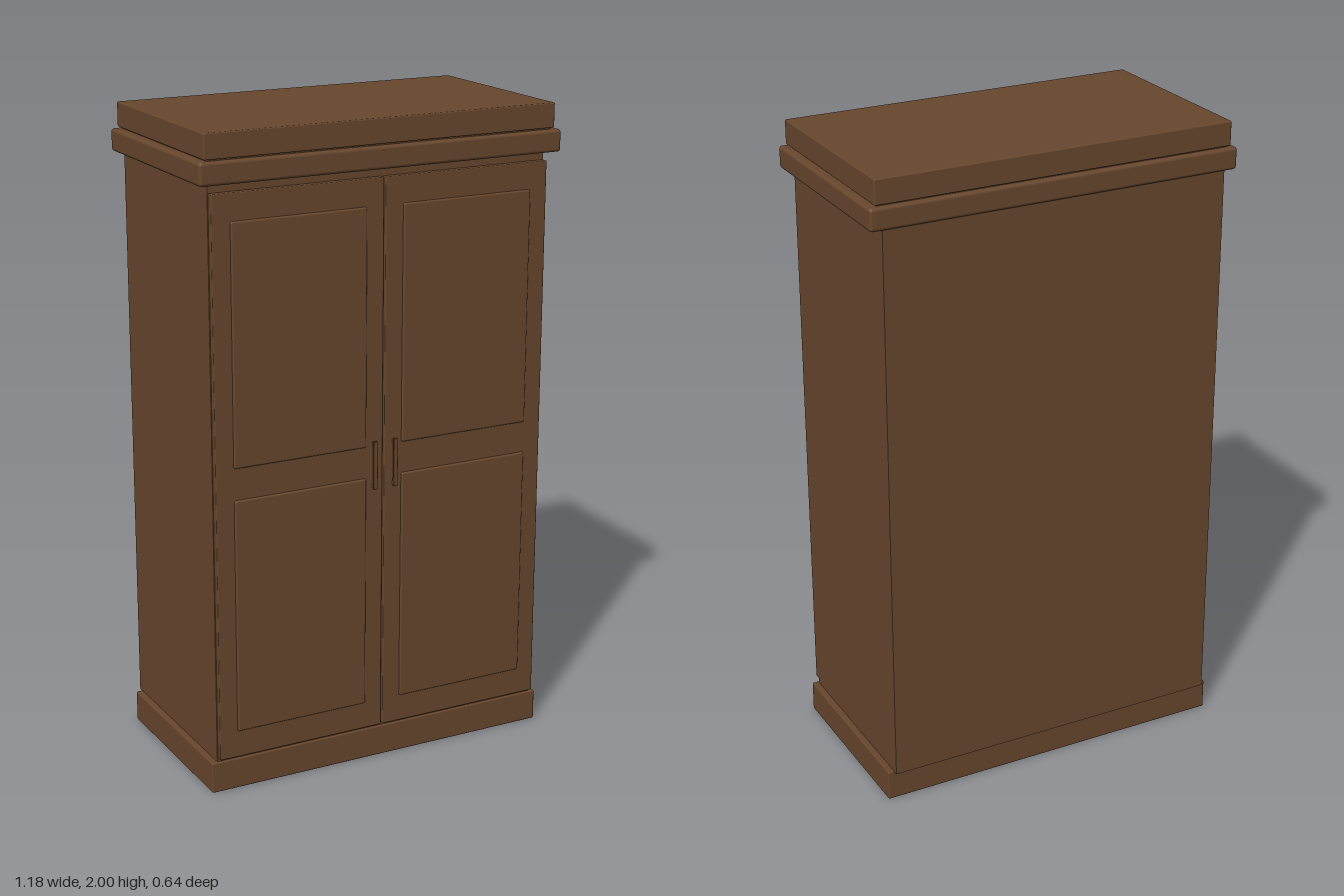
import * as THREE from 'three';
import { RoundedBoxGeometry } from 'three/addons/geometries/RoundedBoxGeometry.js';

export function createModel() {
  const wood = new THREE.MeshStandardMaterial({ color: 0x68472d });
  wood.name = 'brown wood';

  // Box given by its extents along each axis, with an optional edge radius
  function block(parent, name, [x0, x1], [y0, y1], [z0, z1], radius = 0) {
    const size = [x1 - x0, y1 - y0, z1 - z0];
    const geometry = radius
      ? new RoundedBoxGeometry(...size, 2, radius)
      : new THREE.BoxGeometry(...size);
    const mesh = new THREE.Mesh(geometry, wood);
    mesh.name = name;
    mesh.position.set((x0 + x1) / 2, (y0 + y1) / 2, (z0 + z1) / 2);
    parent.add(mesh);
  }

  const wardrobe = new THREE.Group();
  wardrobe.name = 'wardrobe';

  // Plinth, carcass and stepped crown
  block(wardrobe, 'plinth', [-0.57, 0.57], [0, 0.097], [-0.297, 0.291], 0.004);
  block(wardrobe, 'carcass', [-0.55, 0.55], [0.095, 1.86], [-0.313, 0.283]);
  block(wardrobe, 'cornice', [-0.589, 0.589], [1.853, 1.921], [-0.321, 0.321], 0.01);
  block(wardrobe, 'crownCore', [-0.56, 0.56], [1.915, 1.93], [-0.303, 0.303]);
  block(wardrobe, 'crownTop', [-0.57, 0.57], [1.925, 2], [-0.312, 0.31], 0.004);

  // Mirrored doors, each with two raised panels and a bow handle
  for (const side of [1, -1]) {
    const door = new THREE.Group();
    door.name = side > 0 ? 'leftDoor' : 'rightDoor';
    const span = (a, b) => (side > 0 ? [a, b] : [-b, -a]);

    block(door, 'doorLeaf', span(0.003, 0.549), [0.11, 1.828], [0.284, 0.306], 0.003);
    for (const [name, y] of [['lowerPanel', [0.195, 0.925]], ['upperPanel', [1.022, 1.747]]]) {
      block(door, name, span(0.06, 0.492), y, [0.296, 0.312], 0.006);
    }

    block(door, 'handleBar', span(0.027, 0.041), [0.89, 1.04], [0.314, 0.322], 0.002);
    for (const y of [0.894, 1.026]) {
      block(door, 'handlePost', span(0.029, 0.039), [y, y + 0.01], [0.304, 0.316]);
    }
    wardrobe.add(door);
  }
  return wardrobe;
}
